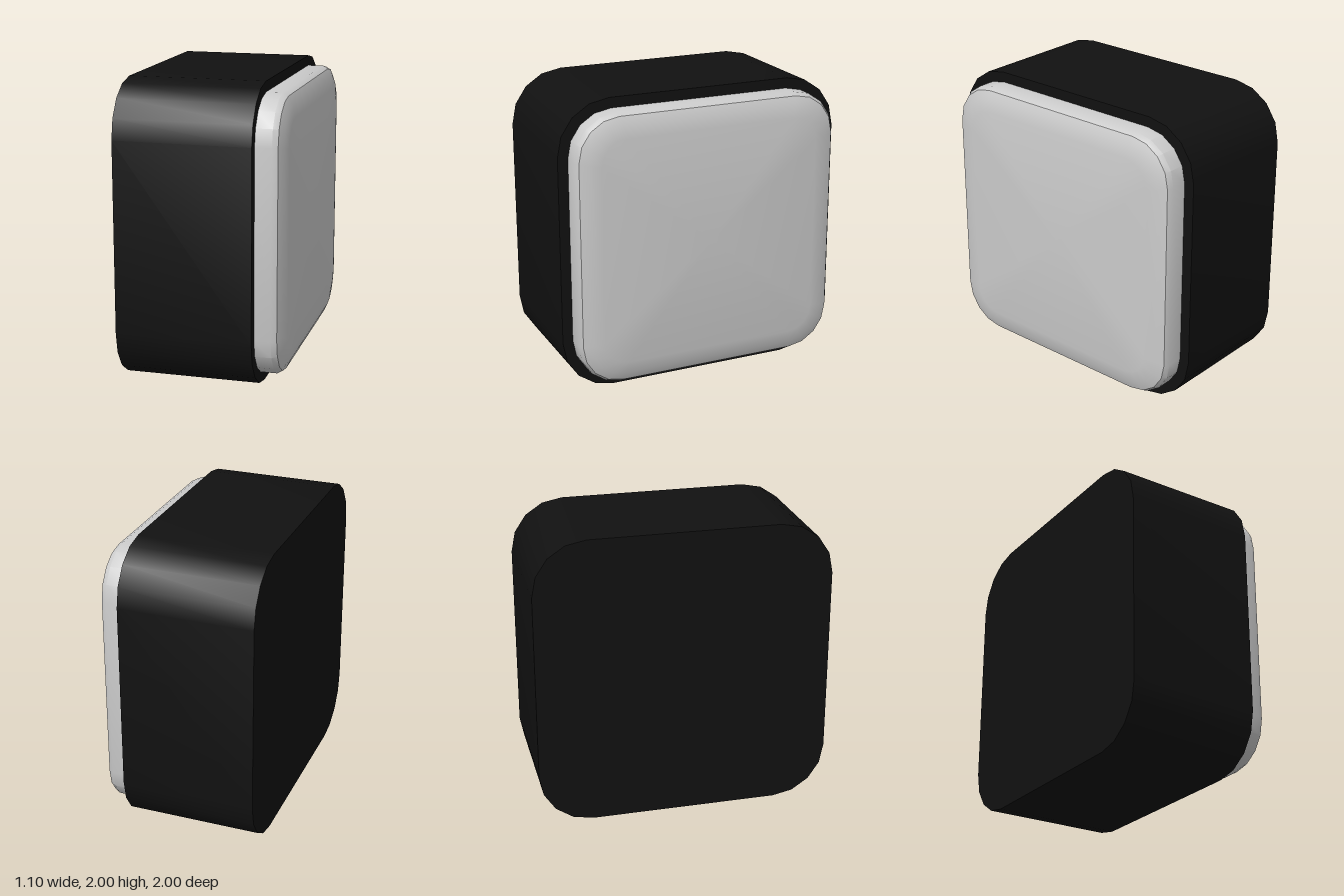
import * as THREE from 'three';
import { toCreasedNormals } from 'three/addons/utils/BufferGeometryUtils.js';

const CORNER_STEPS = 4;

// Rounded square ring in the plane of constant x, centred on y = 1
function ring([x, half, radius]) {
  const points = [];
  for (let corner = 0; corner < 4; corner++) {
    const mid = (corner + 0.5) * Math.PI / 2;
    const cy = Math.sign(Math.cos(mid)) * (half - radius);
    const cz = Math.sign(Math.sin(mid)) * (half - radius);
    for (let i = 0; i <= CORNER_STEPS; i++) {
      const a = (corner + i / CORNER_STEPS) * Math.PI / 2;
      points.push([x, 1 + cy + radius * Math.cos(a), cz + radius * Math.sin(a)]);
    }
  }
  return points;
}

// Closed solid through rings [x, half size, corner radius], ordered along +x
function loft(name, sections, color) {
  const n = 4 * (CORNER_STEPS + 1);
  const last = (sections.length - 1) * n;
  const positions = sections.flatMap(ring);
  positions.push([sections[0][0], 1, 0], [sections.at(-1)[0], 1, 0]);
  const startCentre = last + n, endCentre = startCentre + 1;
  const index = [];
  for (let j = 0; j < n; j++) {
    const k = (j + 1) % n;
    for (let s = 0; s < last; s += n) {
      index.push(s + j, s + k, s + n + k, s + j, s + n + k, s + n + j);
    }
    index.push(startCentre, k, j, endCentre, last + j, last + k);
  }
  const geometry = new THREE.BufferGeometry();
  geometry.setAttribute('position', new THREE.Float32BufferAttribute(positions.flat(), 3));
  geometry.setIndex(index);
  const mesh = new THREE.Mesh(
    toCreasedNormals(geometry, 0.56),
    new THREE.MeshStandardMaterial({ color })
  );
  mesh.name = name;
  return mesh;
}

export function createModel() {
  const group = new THREE.Group();
  group.name = 'roundedButton';

  // Dark housing block
  group.add(loft('housing', [[-0.55, 1, 0.36], [0.36, 1, 0.36]], 0x111111));

  // Grey cap with a softened front edge
  group.add(loft('cap', [
    [0.35, 0.93, 0.3],
    [0.47, 0.93, 0.3],
    [0.505, 0.91, 0.28],
    [0.53, 0.855, 0.24],
    [0.545, 0.77, 0.17],
  ], 0xcccccc));

  return group;
}
